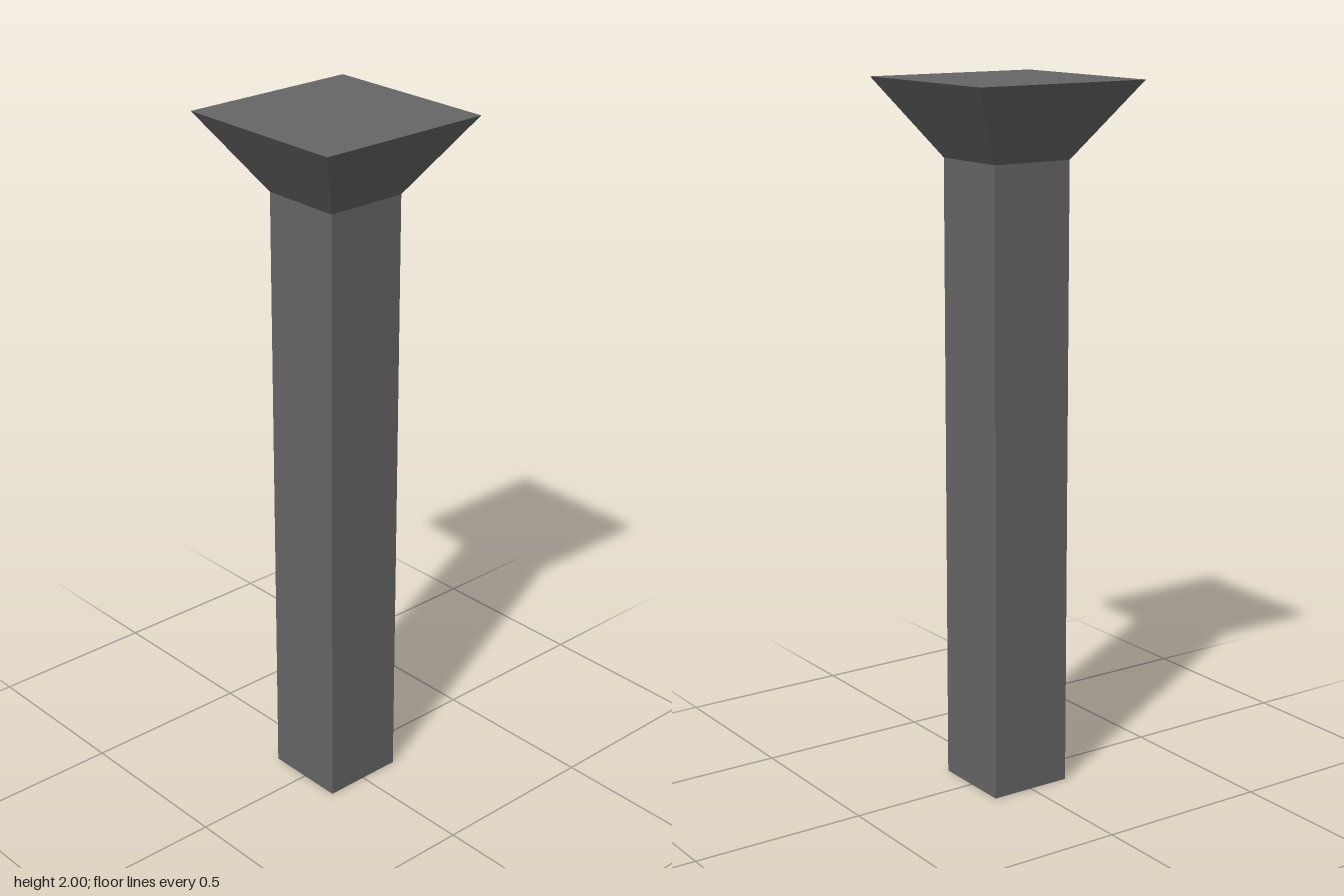
import * as THREE from 'three';

const SHAFT_HALF = 0.122;  // half width of the shaft
const TOP_HALF = 0.265;    // half width of the flared top
const FLARE_Y = 1.785;     // where the flare begins
const HEIGHT = 2;

const material = new THREE.MeshStandardMaterial({
  color: 0x666666,
  flatShading: true,
  side: THREE.DoubleSide,
});

// Open square tube, tapering between two half widths
function squareTube(name, bottomHalf, topHalf, y0, y1) {
  const geometry = new THREE.CylinderGeometry(
    topHalf * Math.SQRT2, bottomHalf * Math.SQRT2, y1 - y0, 4, 1, true, Math.PI / 4);
  const mesh = new THREE.Mesh(geometry, material);
  mesh.name = name;
  mesh.position.y = (y0 + y1) / 2;
  return mesh;
}

export function createModel() {
  const group = new THREE.Group();
  group.name = 'squareColumn';

  // Hollow shaft, open at the foot
  group.add(squareTube('shaft', SHAFT_HALF, SHAFT_HALF, 0, FLARE_Y));

  // Flared capital
  group.add(squareTube('capital', SHAFT_HALF, TOP_HALF, FLARE_Y, HEIGHT));

  // Flat lid closing the capital
  const lid = new THREE.Mesh(
    new THREE.PlaneGeometry(TOP_HALF * 2, TOP_HALF * 2).rotateX(-Math.PI / 2), material);
  lid.name = 'capitalTop';
  lid.position.y = HEIGHT;
  group.add(lid);

  return group;
}
